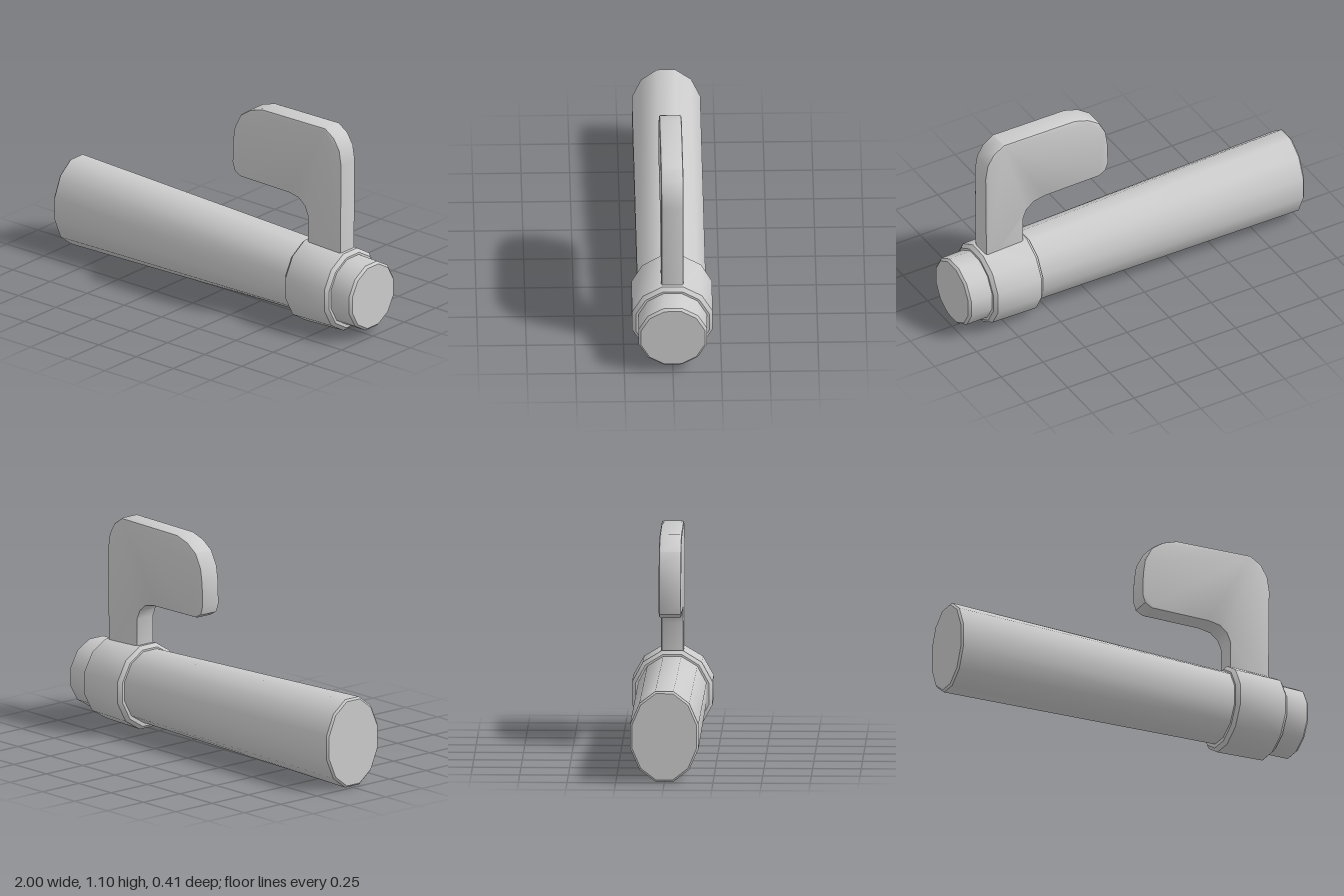
import * as THREE from 'three';
import { toCreasedNormals } from 'three/addons/utils/BufferGeometryUtils.js';

const material = new THREE.MeshStandardMaterial({ color: 0xcccccc });
const SIDES = 12;

// Closed twelve-sided loft along x; each section is [x, centreY, halfHeight, halfDepth]
function loft(name, sections) {
  const pos = [], index = [];
  for (const [x, cy, hy, hz] of sections) {
    for (let i = 0; i < SIDES; i++) {
      const a = ((i + 0.5) / SIDES) * Math.PI * 2;
      const k = 1 / Math.cos(Math.PI / SIDES); // half sizes measure to the flats
      pos.push(x, cy + Math.cos(a) * hy * k, Math.sin(a) * hz * k);
    }
  }
  for (let s = 0; s < sections.length - 1; s++) {
    for (let i = 0; i < SIDES; i++) {
      const j = (i + 1) % SIDES;
      const a = s * SIDES + i, b = s * SIDES + j;
      index.push(a, b, b + SIDES, a, b + SIDES, a + SIDES);
    }
  }
  // End caps
  const last = (sections.length - 1) * SIDES;
  for (let i = 1; i < SIDES - 1; i++) {
    index.push(0, i + 1, i);
    index.push(last, last + i, last + i + 1);
  }
  const geo = new THREE.BufferGeometry();
  geo.setAttribute('position', new THREE.Float32BufferAttribute(pos, 3));
  geo.setIndex(index);
  const mesh = new THREE.Mesh(toCreasedNormals(geo, 0.7), material);
  mesh.name = name;
  return mesh;
}

// Loft between two sections with a small bevel at both ends
function bevelledTube(name, start, end, b) {
  const inset = ([x, cy, hy, hz]) => [x, cy, hy - b, hz - b];
  const shift = ([x, ...rest], d) => [x + d, ...rest];
  return loft(name, [inset(start), shift(start, b), shift(end, -b), inset(end)]);
}

export function createModel() {
  const group = new THREE.Group();

  // Tapered grip, collar and end knob along one axis
  group.add(bevelledTube('grip', [-1, 0.242, 0.234, 0.176], [0.62, 0.228, 0.187, 0.176], 0.01));
  group.add(bevelledTube('collar', [0.57, 0.223, 0.221, 0.207], [0.865, 0.222, 0.212, 0.207], 0.018));
  group.add(bevelledTube('endKnob', [0.8, 0.226, 0.181, 0.176], [1, 0.223, 0.178, 0.176], 0.012));

  // Flat hooked lever rising from the collar
  const outline = [
    [0.83, 0.36], [0.835, 0.92], [0.822, 1.0], [0.785, 1.06], [0.725, 1.1],
    [0.3, 1.095], [0.22, 1.07], [0.155, 1.025], [0.115, 0.95], [0.103, 0.87],
    [0.1, 0.75], [0.115, 0.705], [0.155, 0.682], [0.48, 0.678],
    [0.545, 0.665], [0.585, 0.632], [0.605, 0.585], [0.605, 0.36],
  ];
  const shape = new THREE.Shape(outline.map(([x, y]) => new THREE.Vector2(x, y)));
  const bevel = 0.012, thickness = 0.116;
  const geo = new THREE.ExtrudeGeometry(shape, {
    depth: thickness - 2 * bevel,
    bevelEnabled: true,
    bevelThickness: bevel,
    bevelSize: bevel,
    bevelOffset: -bevel,
    bevelSegments: 2,
  });
  geo.translate(0, 0, bevel - thickness / 2);
  const lever = new THREE.Mesh(toCreasedNormals(geo, 0.6), material);
  lever.name = 'lever';
  group.add(lever);

  return group;
}
